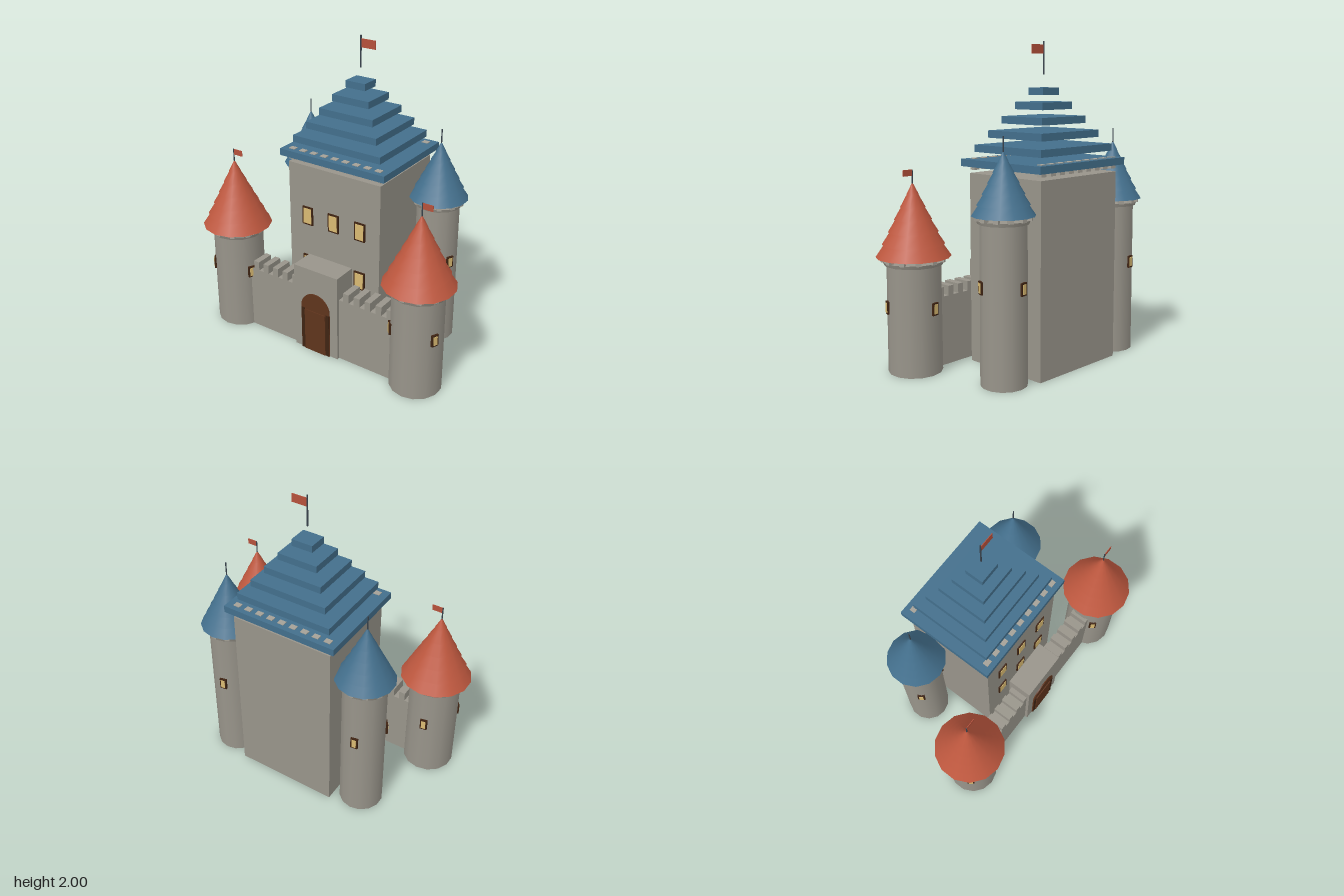
import * as THREE from 'three';

const mat = (name, color, extra = {}) => {
  const m = new THREE.MeshStandardMaterial({ color, ...extra });
  m.name = name;
  return m;
};

export function createModel() {
  const stone = mat('stone', 0x98948a);
  const trim = mat('pale stone', 0xa5a197);
  const blue = mat('blue roof', 0x436f8c);
  const red = mat('red roof', 0xbd573e);
  const flagRed = mat('flag red', 0xb5503a, { side: THREE.DoubleSide });
  const frame = mat('dark wood', 0x3f2413);
  const wood = mat('door wood', 0x5f341c);
  const glass = mat('window glow', 0xd9ba72);
  const metal = mat('pole metal', 0x3a444e);

  const castle = new THREE.Group();
  castle.name = 'castle';

  const add = (parent, name, geo, material, x, y, z) => {
    const m = new THREE.Mesh(geo, material);
    m.name = name;
    m.position.set(x, y, z);
    parent.add(m);
    return m;
  };
  // box placed by its base height
  const box = (parent, name, material, w, h, d, x, y, z) =>
    add(parent, name, new THREE.BoxGeometry(w, h, d), material, x, y + h / 2, z);
  const group = (parent, name, x = 0, y = 0, z = 0) => {
    const g = new THREE.Group();
    g.name = name;
    g.position.set(x, y, z);
    parent.add(g);
    return g;
  };

  // framed window facing +z, origin at its centre
  const windowAt = (parent, w, h, border, x, y, z, turn = 0) => {
    const g = group(parent, 'window', x, y, z);
    g.rotation.y = turn;
    box(g, 'windowFrame', frame, w, h, 0.016, 0, -h / 2, 0);
    box(g, 'windowPane', glass, w - border, h - border, 0.006, 0, -(h - border) / 2, 0.008);
  };

  const pole = (parent, y0, y1, r) =>
    add(parent, 'pole', new THREE.CylinderGeometry(r, r, y1 - y0, 6), metal, 0, (y0 + y1) / 2, 0);
  const flag = (parent, w, y0, y1) =>
    box(parent, 'flag', flagRed, w, y1 - y0, 0.004, w / 2, y0, 0);

  // round tower with rim, corbels, stepped cone roof and three windows
  const SIDES = 14;
  const tower = (name, x, z, s) => {
    const g = group(castle, name, x, 0, z);
    add(g, 'towerBody', new THREE.CylinderGeometry(s.r * 0.985, s.r, s.top, SIDES), stone, 0, s.top / 2, 0);
    add(g, 'towerRim', new THREE.CylinderGeometry(s.r * 1.13, s.r * 1.08, 0.022, SIDES), stone, 0, s.top + 0.005, 0);
    for (let i = 0; i < 12; i++) {
      const a = (i / 12) * Math.PI * 2;
      const c = box(g, 'corbel', trim, 0.03, 0.035, 0.035,
        Math.cos(a) * s.r * 1.08, s.top + 0.014, Math.sin(a) * s.r * 1.08);
      c.rotation.y = Math.PI / 2 - a;
    }
    const rings = 6;
    const h = (s.apex - s.eave) / rings;
    for (let i = 0; i < rings; i++) {
      const bottom = s.roofR * (1 - i / rings);
      const top = s.roofR * (1 - (i + 1) / rings) * 0.93;
      add(g, 'roofRing', new THREE.CylinderGeometry(top, bottom, h, SIDES), s.roof, 0, s.eave + h * (i + 0.5), 0);
    }
    for (let k = 0; k < 3; k++) {
      const a = 0.4 + (k * Math.PI * 2) / 3;
      windowAt(g, 0.046, 0.077, 0.018, Math.cos(a) * s.r, s.windowY, Math.sin(a) * s.r, Math.PI / 2 - a);
    }
    pole(g, s.apex - 0.02, s.tip, 0.004);
    if (s.flag) flag(g, 0.07, s.tip - 0.038, s.tip);
  };

  const front = { r: 0.167, top: 0.675, eave: 0.715, apex: 1.165, roofR: 0.228, roof: red, windowY: 0.412, tip: 1.241, flag: true };
  const rear = { r: 0.141, top: 0.967, eave: 1.005, apex: 1.375, roofR: 0.188, roof: blue, windowY: 0.594, tip: 1.457, flag: false };
  for (const side of [-1, 1]) {
    tower('frontTower', side * 0.7, 0.265, front);
    tower('rearTower', side * 0.5, -0.305, rear);
  }

  // keep with front windows
  const keep = group(castle, 'keep', 0, 0, -0.154);
  box(keep, 'keepBody', stone, 0.69, 1.2, 0.595, 0, 0, 0);
  for (const x of [-0.2, 0, 0.2]) {
    for (const y of [0.503, 0.853]) windowAt(keep, 0.08, 0.126, 0.02, x, y, 0.298);
  }

  // corbels under the keep roof, front and back
  for (let i = 0; i < 9; i++) {
    for (const z of [-0.28, 0.28]) box(keep, 'keepCorbel', trim, 0.043, 0.072, 0.036, -0.32 + i * 0.08, 1.22, z);
  }

  // stepped roof of separate slabs
  for (let i = 0; i < 6; i++) {
    box(keep, 'roofSlab', blue, 2 * (0.387 - 0.0632 * i), 0.045, 2 * (0.331 - 0.054 * i), 0, 1.243 + 0.0866 * i, 0);
  }
  pole(keep, 1.8, 2, 0.005);
  flag(keep, 0.105, 1.925, 1.98);

  // curtain wall and battlements
  const wall = group(castle, 'curtainWall', 0, 0, 0.265);
  for (const side of [-1, 1]) {
    box(wall, 'wall', stone, 0.44, 0.44, 0.125, side * 0.36, 0, 0);
    const start = side < 0 ? -0.5 : 0.22;
    for (let i = 0; i < 5; i++) box(wall, 'merlon', stone, 0.042, 0.06, 0.125, start + i * 0.08, 0.44, 0);
  }

  // gatehouse with arched door
  const gate = group(castle, 'gatehouse', 0, 0, 0.265);
  box(gate, 'gateBlock', stone, 0.335, 0.6, 0.165, 0, 0, 0);
  const arch = new THREE.Shape();
  arch.moveTo(-0.11, 0);
  arch.lineTo(0.11, 0);
  arch.lineTo(0.11, 0.32);
  arch.absarc(0, 0.32, 0.11, 0, Math.PI, false);
  arch.lineTo(-0.11, 0);
  add(gate, 'doorArch', new THREE.ExtrudeGeometry(arch, { depth: 0.009, bevelEnabled: false, curveSegments: 14 }), wood, 0, 0, 0.081);
  for (const side of [-1, 1]) box(gate, 'doorPost', frame, 0.026, 0.31, 0.006, side * 0.095, 0, 0.089);
  box(gate, 'doorPanel', wood, 0.16, 0.302, 0.012, 0, 0, 0.09);

  return castle;
}
